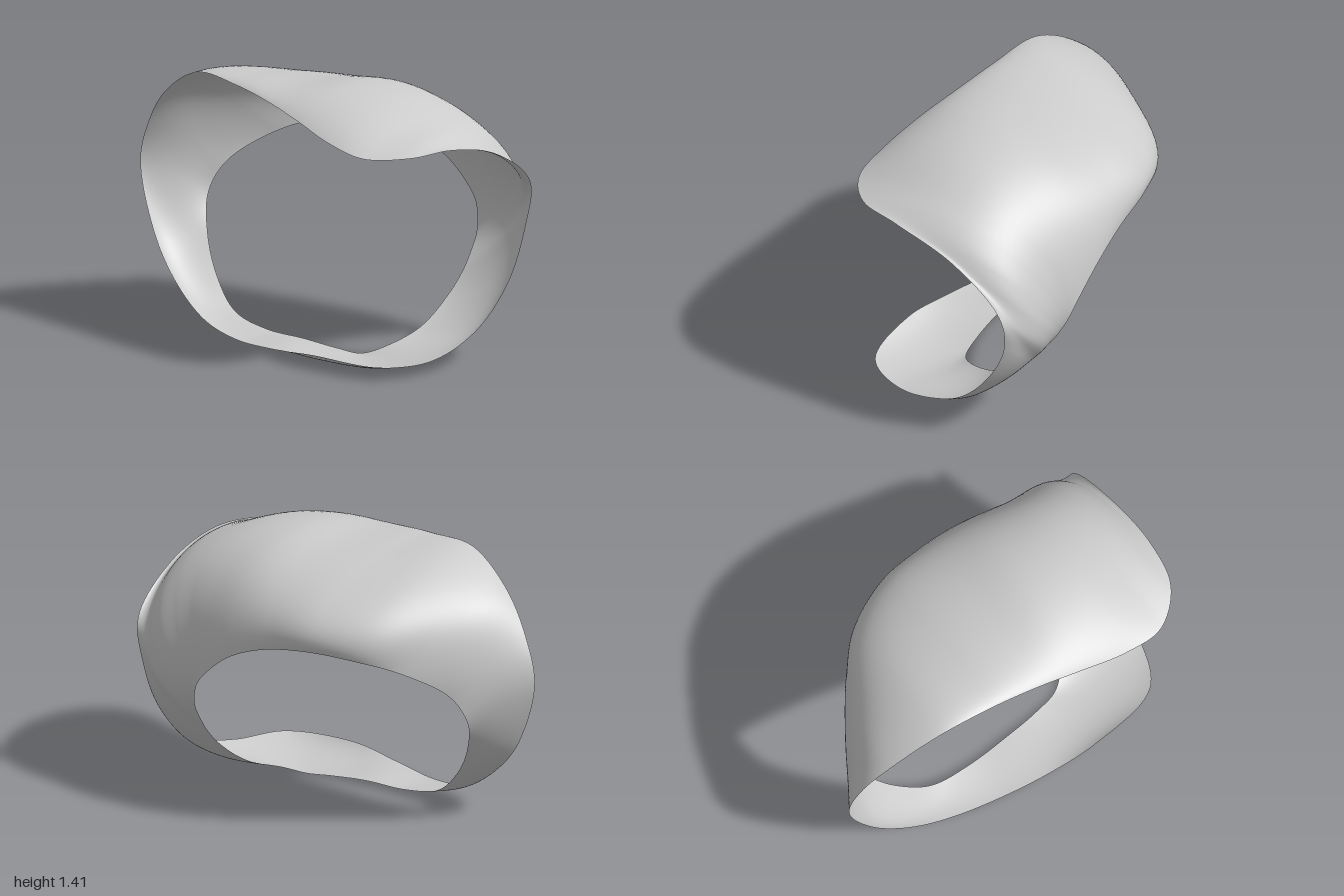
import * as THREE from 'three';
import { ParametricGeometry } from 'three/addons/geometries/ParametricGeometry.js';

// Closed smooth rail through a few x, y, z points
function rail(n) {
  const points = [];
  for (let i = 0; i < n.length; i += 3) points.push(new THREE.Vector3(n[i], n[i + 1], n[i + 2]));
  return new THREE.CatmullRomCurve3(points, true);
}

// Every rail starts at the middle of the right side, rises over the top,
// runs down the left side and returns under the bottom.
const frontEdge = rail([
  -1, .78, .36, -.93, 1.01, .37, -.77, 1.21, .41, -.5, 1.37, .455,
  -.2, 1.365, .48, .05, 1.335, .51, .3, 1.29, .55, .55, 1.23, .58,
  .78, 1.19, .56, .95, 1.195, .4, .995, 1.195, .15, .98, 1.1, -.2,
  .95, .89, -.47, .905, .65, -.48, .91, .38, -.35, .9, .17, -.13,
  .89, .07, .2, .78, .072, .46, .4, .08, .55, .1, .05, .54,
  -.2, .035, .5, -.46, .08, .46, -.68, .22, .43, -.87, .43, .39,
]);
const frontRidge = rail([
  -.94, .73, .27, -.88, .97, .22, -.76, 1.175, .18, -.5, 1.335, .15,
  -.2, 1.375, .15, .05, 1.39, .16, .3, 1.41, .16, .54, 1.375, .17,
  .75, 1.3, .14, .885, 1.24, .03, .935, 1.155, -.14, .925, 1.01, -.35,
  .88, .79, -.51, .8, .56, -.5, .8, .32, -.36, .8, .13, -.14,
  .77, .045, .2, .65, .025, .36, .36, .027, .45, .08, .038, .45,
  -.2, .03, .43, -.46, .075, .4, -.67, .21, .36, -.85, .42, .31,
]);
const backRidge = rail([
  -.87, .67, .17, -.83, .87, .09, -.71, 1.06, -.04, -.52, 1.18, -.2,
  -.22, 1.235, -.31, .05, 1.27, -.32, .29, 1.29, -.315, .5, 1.265, -.31,
  .66, 1.215, -.32, .76, 1.12, -.38, .81, .99, -.46, .8, .83, -.53,
  .75, .64, -.55, .68, .45, -.465, .67, .27, -.33, .66, .11, -.12,
  .62, .03, .15, .51, .006, .26, .31, .012, .33, .06, .035, .35,
  -.2, .033, .35, -.45, .08, .34, -.64, .22, .29, -.8, .42, .23,
]);
const backEdge = rail([
  -.8, .6, .07, -.76, .75, -.02, -.62, .89, -.22, -.45, .96, -.38,
  -.2, .985, -.49, .05, .95, -.54, .25, .87, -.57, .4, .75, -.575,
  .46, .68, -.57, .49, .62, -.555, .51, .57, -.535, .525, .52, -.51,
  .535, .46, -.47, .54, .36, -.4, .54, .25, -.29, .53, .12, -.1,
  .47, .045, .1, .39, .012, .18, .25, .02, .22, .05, .035, .25,
  -.2, .04, .27, -.42, .09, .27, -.6, .24, .22, -.73, .42, .15,
]);
const rails = [frontEdge, frontRidge, backRidge, backEdge];

// Cubic skin passing through all four rails
function skin(u, v, target) {
  const s = v * 3;
  const weights = [
    -(s - 1) * (s - 2) * (s - 3) / 6,
    s * (s - 2) * (s - 3) / 2,
    -s * (s - 1) * (s - 3) / 2,
    s * (s - 1) * (s - 2) / 6,
  ];
  target.set(0, 0, 0);
  rails.forEach((curve, i) => target.addScaledVector(curve.getPoint(u % 1), weights[i]));
}

export function createModel() {
  const group = new THREE.Group();
  group.name = 'twistedBand';

  // One thin, open band looping round both openings
  const band = new THREE.Mesh(
    new ParametricGeometry(skin, 240, 32),
    new THREE.MeshStandardMaterial({ color: 0xcccccc, side: THREE.DoubleSide }),
  );
  band.name = 'curvedShell';
  group.add(band);
  return group;
}
